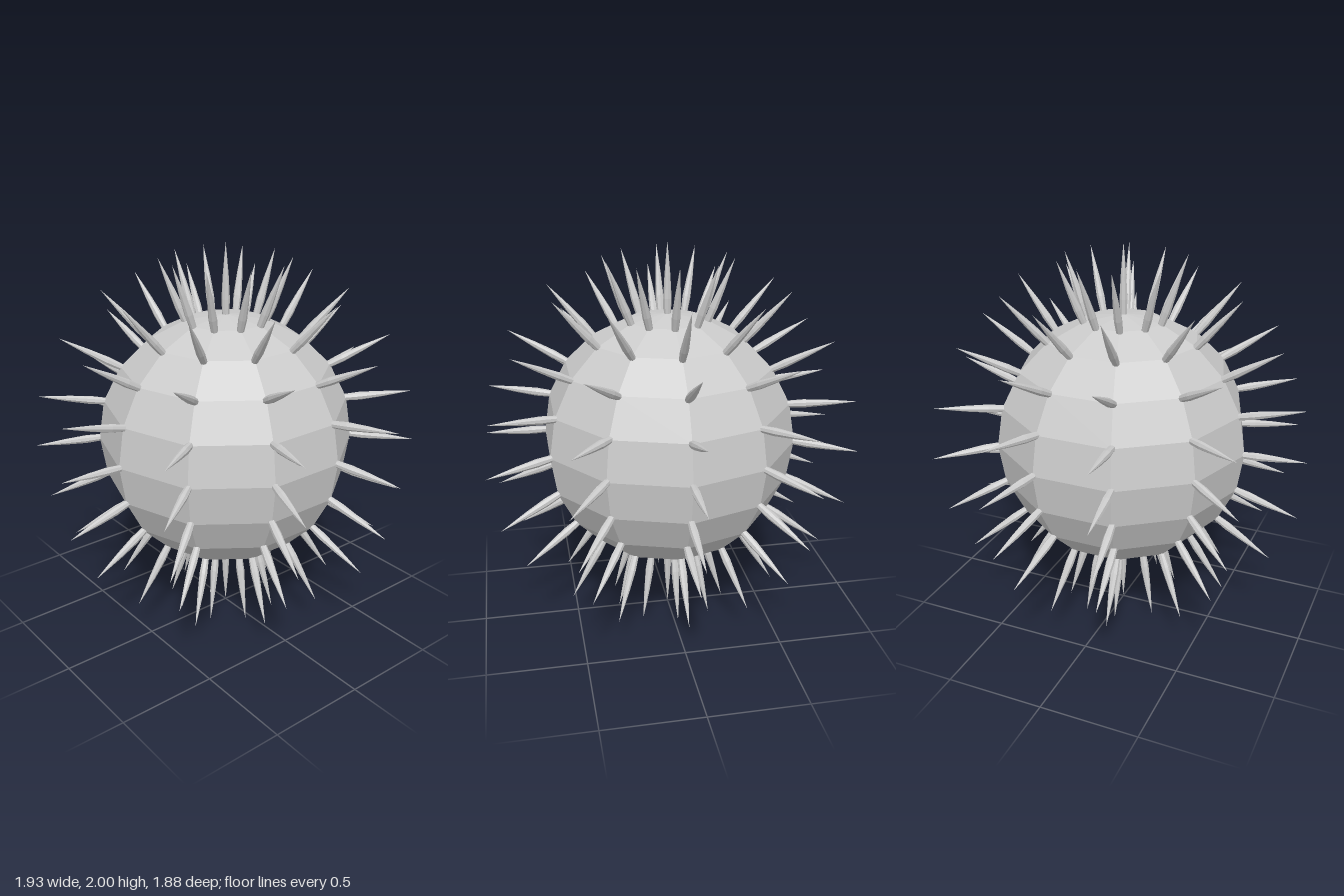
import * as THREE from 'three';

const R = 0.65, SIDES = 10, RINGS = 10;

// Spike elevation in degrees for each ring of the body, top to bottom
const TILT = [68, 48, 27, 5, -7, -23, -32, -57, -73];
// The two side columns stand closer to the true radial direction
const TILT_LEFT = [70, 53, 32, 17, 0, -13, -14, -52, -72];
const TILT_RIGHT = [70, 49, 31, 14, 3, -16, -31, -55, -72];

export function createModel() {
  const model = new THREE.Group();
  model.name = 'spikyBall';
  const material = new THREE.MeshStandardMaterial({ color: 0xcccccc, flatShading: true });

  // Faceted body, with corners on the x axis
  const body = new THREE.Mesh(new THREE.SphereGeometry(R, SIDES, RINGS), material);
  body.name = 'body';
  body.position.y = 1;
  model.add(body);

  // Slim thorn, slightly swollen above its root
  const profile = [[0, -0.04], [0.016, -0.04], [0.021, 0.07], [0.015, 0.18], [0.007, 0.27], [0, 0.34]];
  const thorn = new THREE.LatheGeometry(profile.map(([x, y]) => new THREE.Vector2(x, y)), 8);
  const spikes = new THREE.Group();
  spikes.name = 'spikes';
  model.add(spikes);

  const up = new THREE.Vector3(0, 1, 0);
  const direction = (elevation, azimuth) => new THREE.Vector3(
    Math.cos(elevation) * Math.cos(azimuth),
    Math.sin(elevation),
    Math.cos(elevation) * Math.sin(azimuth));
  const addSpike = (base, dir, length = 1) => {
    const spike = new THREE.Mesh(thorn, material);
    spike.name = 'spike';
    spike.position.copy(base).multiplyScalar(R).add(body.position);
    spike.quaternion.setFromUnitVectors(up, dir);
    spike.scale.y = length;
    spikes.add(spike);
  };

  // One spike on every corner of the body
  for (let column = 0; column < SIDES; column++) {
    const azimuth = (column / SIDES) * Math.PI * 2;
    const tilt = column === 0 ? TILT_LEFT : column === 5 ? TILT_RIGHT : TILT;
    const lean = column === 7 ? 0.2 : 0;
    for (let ring = 1; ring < RINGS; ring++) {
      const elevation = Math.PI / 2 - (ring / RINGS) * Math.PI;
      addSpike(
        direction(elevation, azimuth),
        direction(THREE.MathUtils.degToRad(tilt[ring - 1]), azimuth + lean),
        ring === 5 && column % 5 === 0 ? 0.92 : 0.98);
    }
  }

  // Pole spikes
  for (const s of [1, -1]) {
    const pole = new THREE.Vector3(0, s, 0);
    addSpike(pole, pole, 1.03);
  }
  return model;
}
